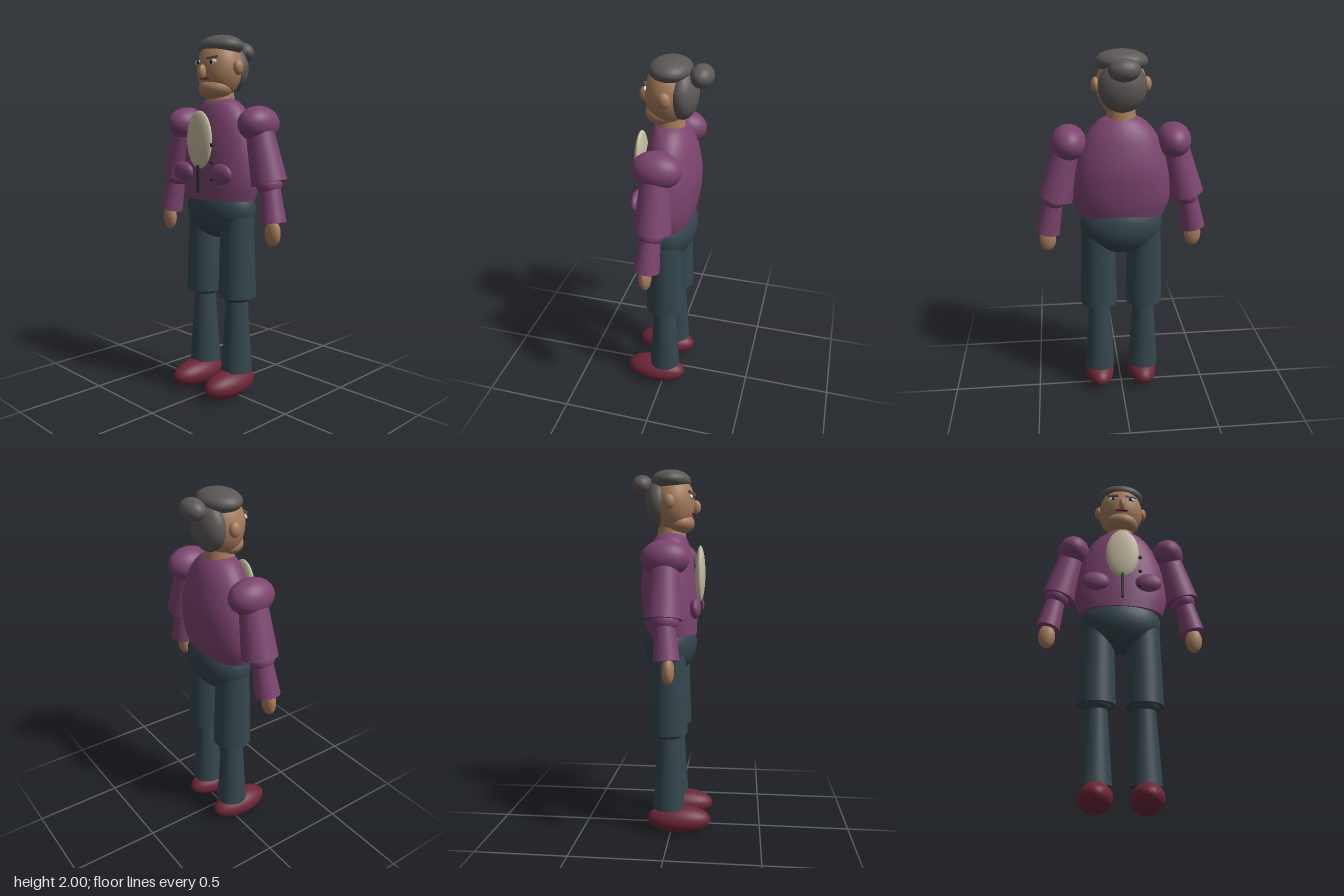
import * as THREE from 'three';

const paint = (name, color) => {
  const m = new THREE.MeshStandardMaterial({ color });
  m.name = name;
  return m;
};

export function createModel() {
  const skin = paint('skin', 0xa67c5c);
  const hair = paint('hair grey', 0x5c5857);
  const jacket = paint('jacket plum', 0x7c4470);
  const cloth = paint('trouser slate', 0x34464d);
  const leather = paint('shoe red', 0x6c2638);
  const cream = paint('shirt cream', 0xc4baa0);
  const dark = paint('trim dark', 0x2c2c30);
  const white = paint('eye white', 0xd8d8d4);
  const red = paint('lip red', 0x8c2434);

  const model = new THREE.Group();
  model.name = 'standingFigure';

  const add = (name, geo, mat, pos) => {
    const mesh = new THREE.Mesh(geo, mat);
    mesh.name = name;
    mesh.position.set(...pos);
    model.add(mesh);
    return mesh;
  };
  const ball = (name, mat, pos, radii) => {
    const mesh = add(name, new THREE.SphereGeometry(1, 36, 24), mat, pos);
    mesh.scale.set(...radii);
    return mesh;
  };
  // Tapered round limb running from top point a to bottom point b
  const limb = (name, mat, a, b, rTop, rBottom) => {
    const top = new THREE.Vector3(...a), bottom = new THREE.Vector3(...b);
    const axis = top.clone().sub(bottom);
    const mesh = add(name, new THREE.CylinderGeometry(rTop, rBottom, axis.length(), 36), mat,
      top.clone().add(bottom).multiplyScalar(0.5).toArray());
    mesh.quaternion.setFromUnitVectors(new THREE.Vector3(0, 1, 0), axis.normalize());
    return mesh;
  };

  // Jacket body: oval sections as [height, half width, half depth, z centre]
  const sections = [
    [1.115, 0.238, 0.135, -0.002], [1.2, 0.264, 0.146, -0.012], [1.3, 0.264, 0.152, -0.02],
    [1.4, 0.248, 0.15, -0.024], [1.5, 0.218, 0.134, -0.022], [1.58, 0.176, 0.113, -0.018],
    [1.64, 0.118, 0.083, -0.012], [1.665, 0.06, 0.05, -0.01], [1.668, 0, 0, -0.01],
  ];
  const shape = new THREE.CatmullRomCurve3(sections.map(s => new THREE.Vector3(s[1], s[0], s[2])));
  const shift = new THREE.CatmullRomCurve3(sections.map(s => new THREE.Vector3(s[3], s[0], 0)));
  const rows = [];
  for (let i = 0; i <= 32; i++) {
    const p = shape.getPoint(i / 32);
    rows.push({ w: Math.max(p.x, 0), y: p.y, d: Math.max(p.z, 0), z: shift.getPoint(i / 32).x });
  }
  rows.unshift({ ...rows[0], w: 0, d: 0 }, rows[0]);   // flat hem underneath
  const body = new THREE.LatheGeometry(rows.map(r => new THREE.Vector2(r.w, r.y)), 48, Math.PI);
  const at = body.attributes.position;
  for (let i = 0; i < at.count; i++) {
    const r = rows[i % rows.length];
    at.setZ(i, r.z + (r.w > 0 ? at.getZ(i) / r.w * r.d : 0));
  }
  body.computeVertexNormals();
  add('jacketBody', body, jacket, [0, 0, 0]);

  // Shirt front and jacket trim
  ball('shirtFront', cream, [0, 1.44, 0.15], [0.095, 0.155, 0.028]);
  add('placket', new THREE.BoxGeometry(0.016, 0.165, 0.014), dark, [0, 1.238, 0.157]);
  for (const y of [1.415, 1.325, 1.235]) ball('button', dark, [0.1, y, 0.154], [0.011, 0.011, 0.008]);

  // Head and neck
  limb('neck', skin, [0, 1.74, -0.008], [0, 1.63, -0.008], 0.068, 0.081);
  ball('head', skin, [0, 1.82, 0], [0.131, 0.16, 0.118]);
  ball('jaw', skin, [0, 1.715, 0.03], [0.098, 0.062, 0.088]);
  ball('nose', skin, [0, 1.8, 0.125], [0.018, 0.038, 0.027]);
  ball('mouth', red, [0, 1.766, 0.111], [0.04, 0.008, 0.012]);
  ball('hairCap', hair, [0, 1.94, -0.012], [0.137, 0.06, 0.108]);
  ball('backHair', hair, [0, 1.82, -0.078], [0.125, 0.13, 0.076]);
  ball('hairBun', hair, [0, 1.916, -0.167], [0.082, 0.057, 0.06]);

  // Mirrored parts
  for (const [side, s] of [['left', 1], ['right', -1]]) {
    const n = part => side + part;
    ball(n('Ear'), skin, [s * 0.133, 1.822, -0.01], [0.025, 0.04, 0.032]);
    ball(n('Eye'), white, [s * 0.053, 1.85, 0.102], [0.028, 0.014, 0.011]);
    ball(n('Pupil'), dark, [s * 0.051, 1.85, 0.111], [0.011, 0.012, 0.005]);
    const brow = add(n('Brow'), new THREE.BoxGeometry(0.066, 0.011, 0.012), hair, [s * 0.054, 1.872, 0.105]);
    brow.rotation.set(0, s * 0.35, s * 0.12);

    // Arm
    ball(n('Shoulder'), jacket, [s * 0.28, 1.525, -0.013], [0.094, 0.094, 0.127]);
    limb(n('UpperSleeve'), jacket, [s * 0.28, 1.53, -0.01], [s * 0.36, 1.22, -0.012], 0.07, 0.096);
    ball(n('Elbow'), jacket, [s * 0.365, 1.215, -0.005], [0.066, 0.06, 0.072]);
    limb(n('Forearm'), jacket, [s * 0.37, 1.21, -0.005], [s * 0.41, 1.015, 0.008], 0.052, 0.068);
    ball(n('Hand'), skin, [s * 0.412, 0.966, 0.016], [0.047, 0.072, 0.032]);
    ball(n('Pocket'), jacket, [s * 0.149, 1.262, 0.135], [0.075, 0.055, 0.03]);

    // Leg
    limb(n('Thigh'), cloth, [s * 0.13, 1.04, -0.012], [s * 0.13, 0.575, -0.012], 0.092, 0.106);
    ball(n('Knee'), cloth, [s * 0.13, 0.59, -0.01], [0.085, 0.06, 0.085]);
    limb(n('Shin'), cloth, [s * 0.13, 0.57, -0.01], [s * 0.13, 0.145, -0.01], 0.06, 0.088);
    ball(n('Shoe'), leather, [s * 0.13, 0.077, 0.046], [0.088, 0.077, 0.177]);
  }

  // Trouser seat
  ball('trouserSeat', cloth, [0, 1.06, -0.013], [0.228, 0.17, 0.146]);
  return model;
}
